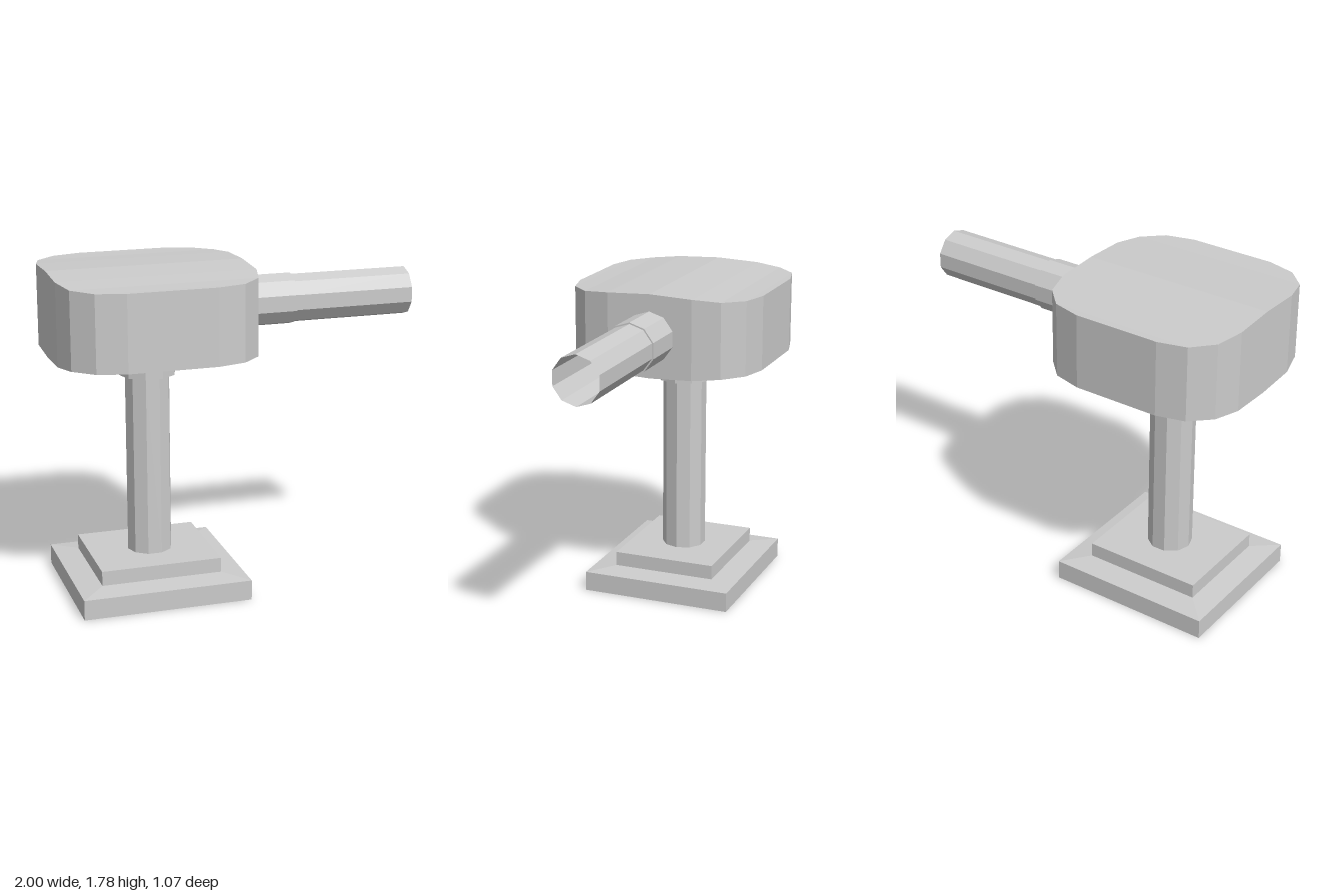
import * as THREE from 'three';

const CX = -0.467; // axis of the post and head

const material = new THREE.MeshStandardMaterial({
  color: 0xcccccc, flatShading: true, side: THREE.DoubleSide,
});

function mesh(name, geometry) {
  const m = new THREE.Mesh(geometry, material);
  m.name = name;
  return m;
}

// Skin a series of closed rings of points, each counter-clockwise about the direction of travel
function loft(rings) {
  const n = rings[0].length;
  const index = [];
  for (let i = 0; i < rings.length - 1; i++) {
    for (let j = 0; j < n; j++) {
      const a = i * n + j, b = i * n + (j + 1) % n;
      index.push(a, b, a + n, b, b + n, a + n);
    }
  }
  const g = new THREE.BufferGeometry();
  g.setAttribute('position', new THREE.Float32BufferAttribute(rings.flat(2), 3));
  g.setIndex(index);
  const flat = g.toNonIndexed();
  flat.computeVertexNormals();
  return flat;
}

// Ten-sided open tube with a stepped profile of [radius, height]
function tube(profile) {
  const points = profile.map(([r, y]) => new THREE.Vector2(r, y));
  return new THREE.LatheGeometry(points, 10, Math.PI / 2);
}

export function createModel() {
  const model = new THREE.Group();

  // Stepped base shell, open underneath
  const baseX = -0.475;
  const square = (hx, hz, y) => [
    [baseX + hx, y, hz], [baseX + hx, y, -hz], [baseX - hx, y, -hz], [baseX - hx, y, hz],
  ];
  model.add(mesh('base', loft([
    square(0.46, 0.425, 0), square(0.46, 0.425, 0.11),
    square(0.33, 0.29, 0.125), square(0.33, 0.29, 0.205),
  ])));

  // Top plate of the base, pierced where the hollow post stands
  const plate = new THREE.Shape([
    new THREE.Vector2(-0.33, -0.29), new THREE.Vector2(0.33, -0.29),
    new THREE.Vector2(0.33, 0.29), new THREE.Vector2(-0.33, 0.29),
  ]);
  const hole = [];
  for (let i = 0; i < 10; i++) {
    const a = (i * Math.PI) / 5;
    hole.push(new THREE.Vector2(CX - baseX + 0.122 * Math.cos(a), 0.122 * Math.sin(a)));
  }
  plate.holes.push(new THREE.Path(hole));
  const plateGeometry = new THREE.ShapeGeometry(plate);
  plateGeometry.rotateX(-Math.PI / 2).translate(baseX, 0.205, 0);
  model.add(mesh('basePlate', plateGeometry));

  // Post with a wider collar below the head
  const post = mesh('post', tube([[0.122, 0.205], [0.122, 1.195], [0.155, 1.195], [0.155, 1.335]]));
  post.position.x = CX;
  model.add(post);

  // Head: slices along z as [z, half width, half height], mirrored front to back
  const half = [[0, 0.533, 0.23], [0.24, 0.533, 0.22], [0.39, 0.494, 0.208], [0.495, 0.39, 0.205], [0.535, 0.236, 0.205]];
  const slices = [
    ...half.slice(1).reverse().map(([z, w, h]) => [-z, w, h]),
    ...half,
  ];
  // Zero-size slices close the two ends
  slices.unshift([-0.535, 0, 0]);
  slices.push([0.535, 0, 0]);
  const headY = 1.55;
  model.add(mesh('head', loft(slices.map(([z, w, h]) => [
    [CX + w, headY - h, z], [CX + w, headY + h, z],
    [CX - w, headY + h, z], [CX - w, headY - h, z],
  ]))));

  // Hollow barrel with a slightly thicker sleeve at its root
  const barrel = mesh('barrel', tube([[0.14, 0.065], [0.14, 0.335], [0.132, 0.335], [0.132, 1]]));
  barrel.rotation.z = -Math.PI / 2;
  barrel.position.y = 1.547;
  model.add(barrel);

  return model;
}
